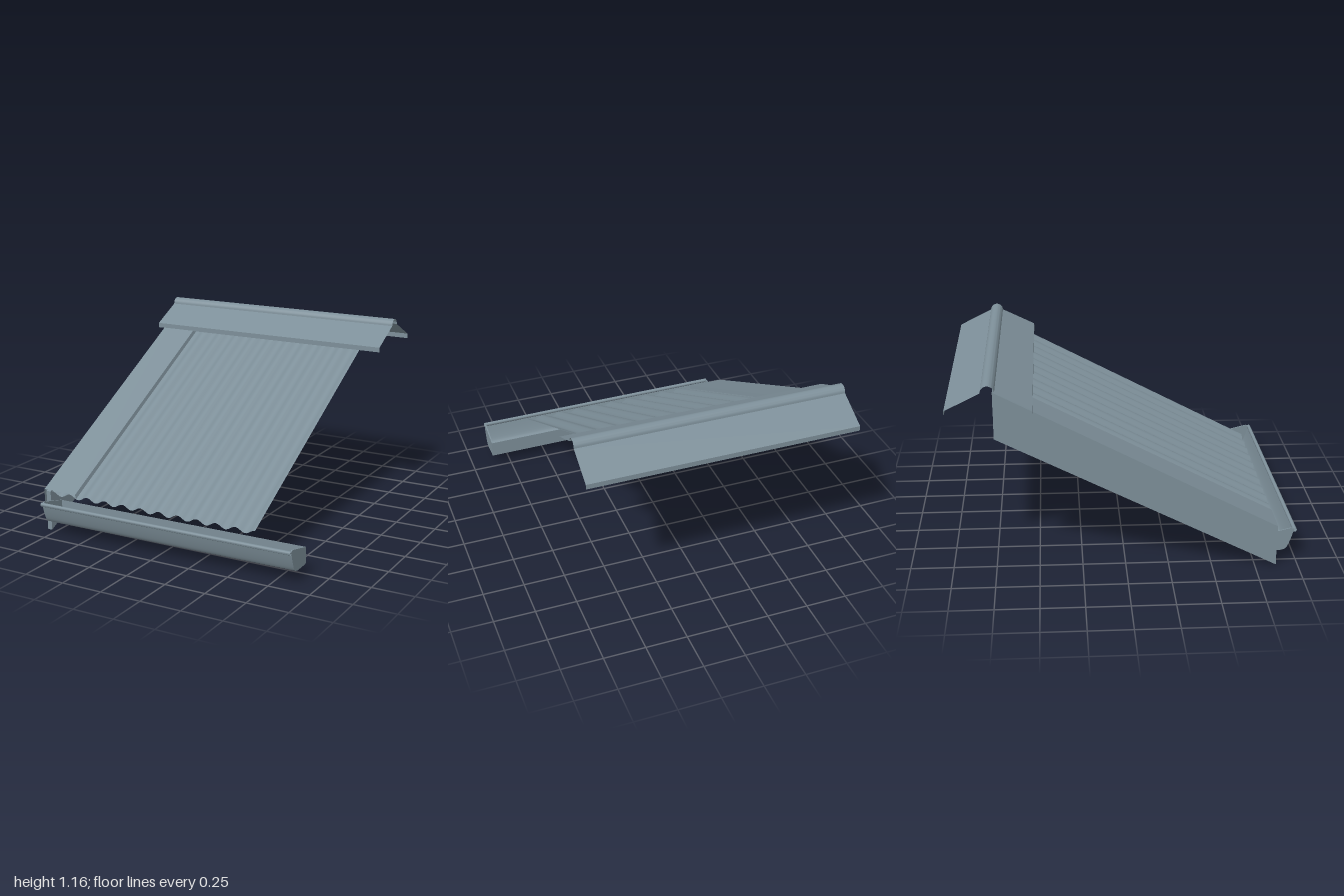
import * as THREE from 'three';
import { toCreasedNormals } from 'three/addons/utils/BufferGeometryUtils.js';

const steel = new THREE.MeshStandardMaterial({ color: 0x7d8f99, side: THREE.DoubleSide });
steel.name = 'blue grey steel';

// Thin sheet lofted between two matching rows of [x, y, z] points
function sheet(name, a, b) {
  const n = a.length, index = [];
  for (let i = 0; i < n - 1; i++) index.push(i, i + 1, n + i, i + 1, n + i + 1, n + i);
  const geo = new THREE.BufferGeometry();
  geo.setAttribute('position', new THREE.Float32BufferAttribute([...a, ...b].flat(), 3));
  geo.setIndex(index);
  const mesh = new THREE.Mesh(toCreasedNormals(geo, 0.6), steel);
  mesh.name = name;
  return mesh;
}

// Solid plate with a [z, y] outline, reaching from xMax towards -x
function plate(name, outline, xMax, width) {
  const shape = new THREE.Shape(outline.map(p => new THREE.Vector2(...p)));
  const geo = new THREE.ExtrudeGeometry(shape, { depth: width, bevelEnabled: false });
  geo.rotateY(-Math.PI / 2);
  const mesh = new THREE.Mesh(geo, steel);
  mesh.name = name;
  mesh.position.x = xMax;
  return mesh;
}

// Roof pitch: eave and top ends
const eave = { z: 0.875, y: 0.254 }, top = { z: -0.738, y: 1.107 };
const slopeSheet = (name, profile) => sheet(name,
  ...[eave, top].map(e => profile.map(([x, y]) => [x, e.y + y, e.z])));
// Same [z, y] section carried between two x positions
const alongX = (name, profile, x0, x1) => sheet(name,
  ...[x0, x1].map(x => profile.map(([z, y]) => [x, y, z])));

export function createModel() {
  const model = new THREE.Group();
  model.name = 'roofSection';

  // Corrugated roof sheet, eleven waves
  const waves = 11, steps = 16, wave = [];
  for (let i = 0; i <= waves * steps; i++) {
    const t = i / steps;
    wave.push([-0.77 + t * 0.125, -0.017 + 0.0125 * Math.cos(t * Math.PI * 2)]);
  }
  model.add(slopeSheet('corrugatedSheet', wave));

  // Barge flashing: outer drop, flat top, small turn-down onto the sheet
  model.add(slopeSheet('bargeFlashing',
    [[-0.83, -0.114], [-0.83, 0], [-0.605, 0], [-0.598, -0.03]]));

  // Barge board under the flashing
  model.add(plate('bargeBoard',
    [[eave.z, 0], [eave.z, 0.245], [top.z, 1.095], [top.z, 0.826]], -0.785, 0.03));

  // Ridge cap: lipped flanges either side of a half-round roll
  const cz = -0.7625, ridge = [[-0.52, 0.99], [-0.52, 1.02]];
  for (let i = 0; i <= 16; i++) {
    const a = i / 16 * Math.PI;
    ridge.push([cz + 0.039 * Math.cos(a), 1.12 + 0.039 * Math.sin(a)]);
  }
  ridge.push([-1.002, 1.02], [-1.002, 0.99]);
  model.add(alongX('ridgeCap', ridge, -0.875, 0.742));

  // Gutter, turned slightly against the eave
  const gutter = new THREE.Group();
  gutter.name = 'gutter';
  const front = new THREE.SplineCurve([[-0.1, 0], [-0.075, 0.006], [-0.055, 0.022],
    [-0.035, 0.07], [-0.02, 0.12]].map(p => new THREE.Vector2(...p)));
  const trough = [[-0.205, 0.1], [-0.205, 0], ...front.getPoints(12).map(p => [p.x, p.y])];
  gutter.add(alongX('gutterTrough', trough, -0.82, 0.82));
  const bead = [];
  for (let i = 0; i <= 12; i++) {
    const a = i / 12 * Math.PI * 2;
    bead.push([-0.012 + 0.012 * Math.cos(a), 0.13 + 0.012 * Math.sin(a)]);
  }
  gutter.add(alongX('gutterBead', bead, -0.82, 0.82));
  const capOutline = [...trough, [-0.012, 0.135], [-0.035, 0.142]];
  gutter.add(plate('gutterEndLeft', capOutline, 0.82, 0.008));
  gutter.add(plate('gutterEndRight', capOutline, -0.812, 0.008));
  gutter.position.set(0.05, 0.07, 0.988);
  gutter.rotation.y = 0.0122;
  model.add(gutter);

  return model;
}
